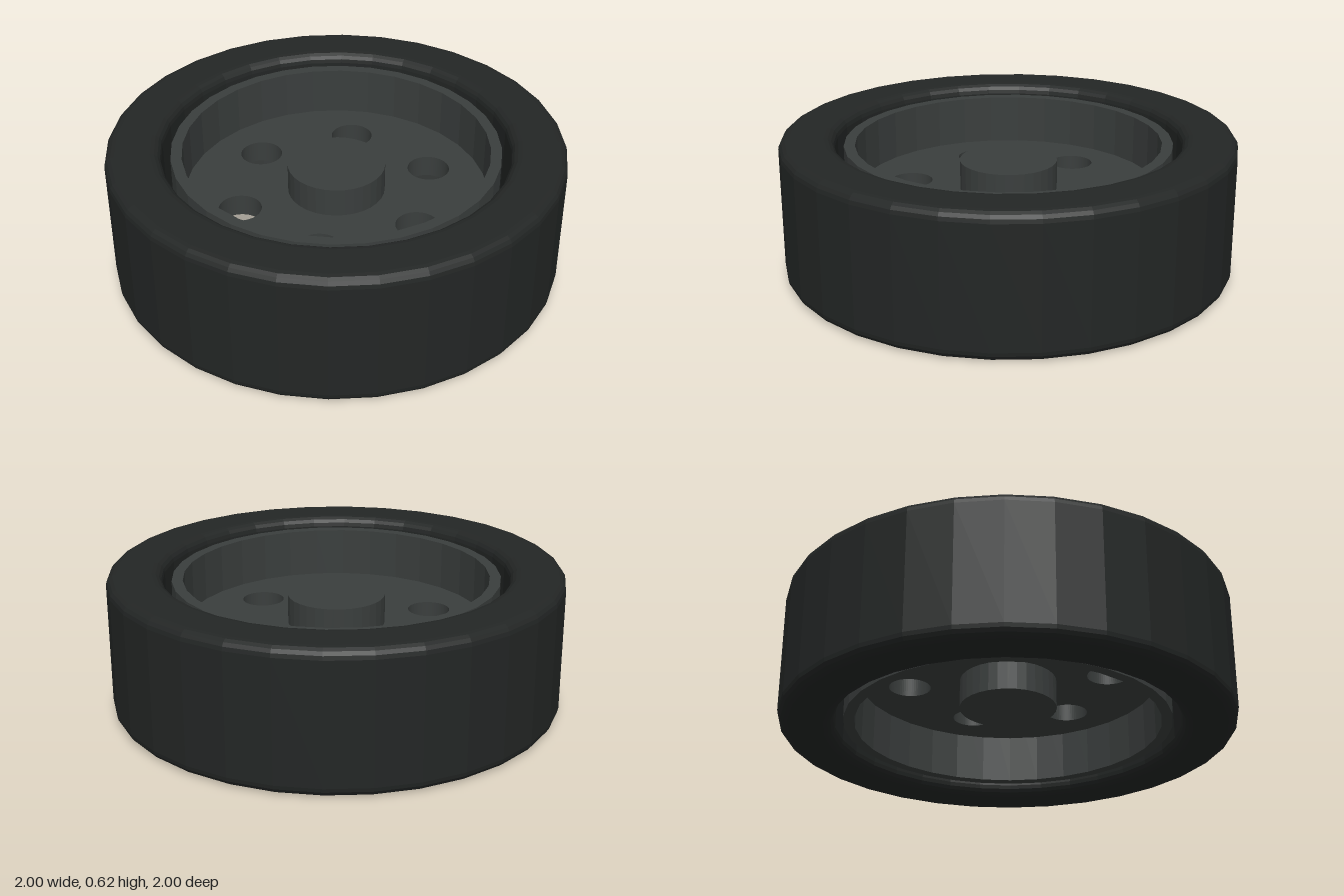
import * as THREE from 'three';

const SIDES = 32;
const HEIGHT = 0.62;
const MID = HEIGHT / 2;

// Closed ring with a rectangular section whose corners are rounded by r
function ring(inner, outer, bottom, top, r) {
  const points = [];
  const corners = [
    [outer - r, bottom + r, -Math.PI / 2],
    [outer - r, top - r, 0],
    [inner + r, top - r, Math.PI / 2],
    [inner + r, bottom + r, Math.PI],
  ];
  const steps = r > 0 ? 4 : 0;
  for (const [x, y, start] of corners) {
    for (let i = 0; i <= steps; i++) {
      const a = start + (steps ? (i / steps) * (Math.PI / 2) : 0);
      points.push(new THREE.Vector2(x + r * Math.cos(a), y + r * Math.sin(a)));
    }
  }
  points.push(points[0].clone());
  return new THREE.LatheGeometry(points, SIDES);
}

export function createModel() {
  const model = new THREE.Group();
  model.name = 'wheel';
  const rubber = new THREE.MeshStandardMaterial({ color: 0x232625, flatShading: true });
  const metal = new THREE.MeshStandardMaterial({ color: 0x3a3e3d, flatShading: true });

  const add = (name, geometry, material) => {
    const mesh = new THREE.Mesh(geometry, material);
    mesh.name = name;
    model.add(mesh);
    return mesh;
  };

  // Tyre with softened shoulders, standing clear of the rim
  add('tyre', ring(0.76, 1, 0, HEIGHT, 0.045), rubber);

  // Rim band
  add('rim', ring(0.672, 0.72, MID - 0.27, MID + 0.27, 0), metal);

  // Web disc with six round holes
  const thickness = 0.1;
  const disc = new THREE.Shape().absarc(0, 0, 0.69, 0, Math.PI * 2, false);
  for (let i = 0; i < 6; i++) {
    const a = (i * Math.PI) / 3;
    disc.holes.push(
      new THREE.Path().absarc(0.447 * Math.cos(a), 0.447 * Math.sin(a), 0.094, 0, Math.PI * 2, true)
    );
  }
  const web = new THREE.ExtrudeGeometry(disc, {
    depth: thickness, bevelEnabled: false, curveSegments: SIDES,
  });
  web.rotateX(-Math.PI / 2);
  add('webDisc', web, metal).position.y = MID - thickness / 2;

  // Hub projecting from both faces of the disc
  add('hub', new THREE.CylinderGeometry(0.215, 0.215, 0.36, SIDES), metal).position.y = MID;

  return model;
}
